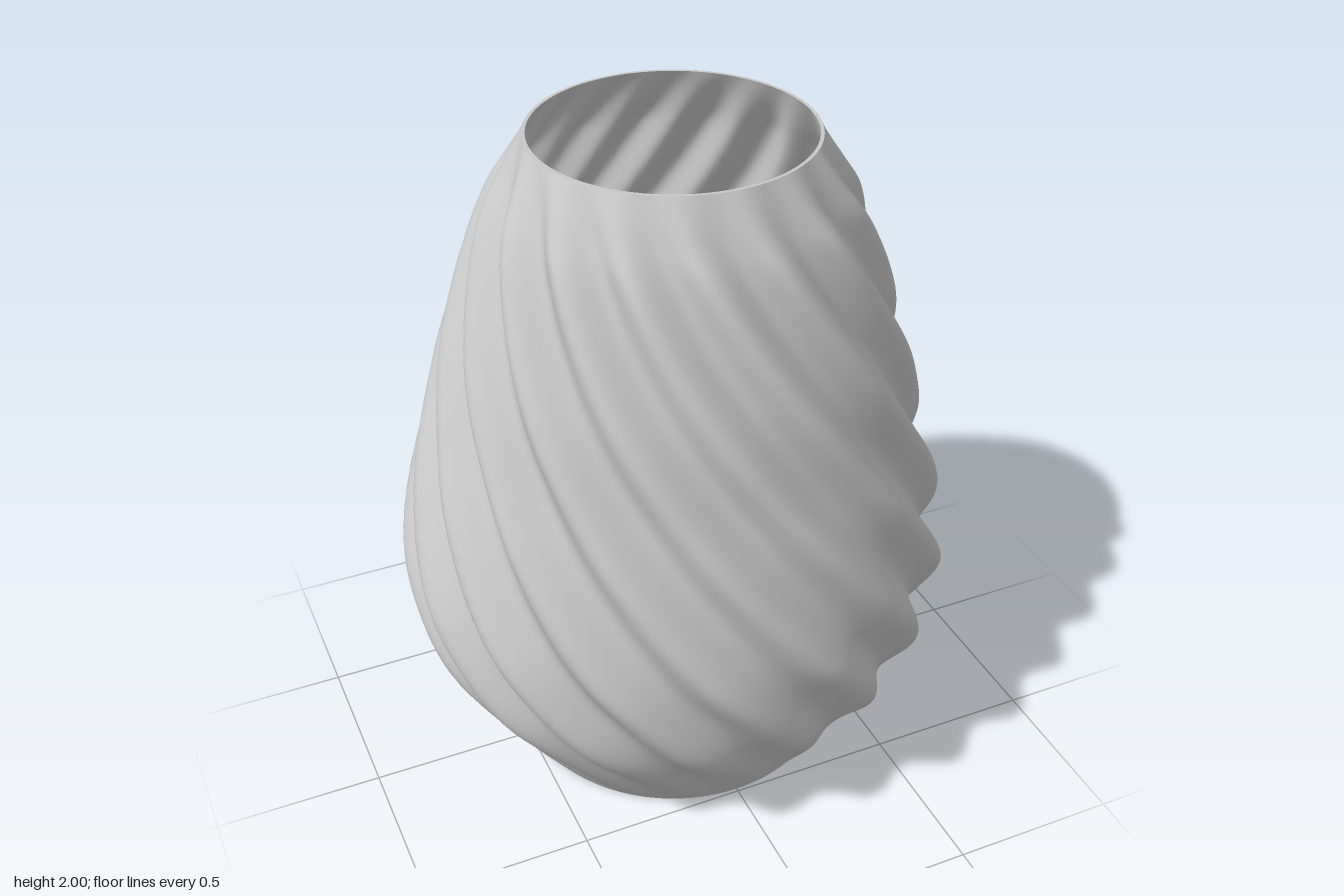
import * as THREE from 'three';

const LOBES = 16;
const TWIST = Math.PI / 3; // turn per unit of height
const WALL = 0.01;
const FLOOR = 0.025;

// Crest radius, height and groove depth up the vase
const profile = new THREE.CatmullRomCurve3([
  [0.49, 0, 0], [0.63, 0.2, 0.022], [0.76, 0.4, 0.055], [0.808, 0.57, 0.07],
  [0.82, 0.72, 0.073], [0.77, 1.0, 0.073], [0.715, 1.2, 0.07], [0.665, 1.4, 0.065],
  [0.6, 1.6, 0.06], [0.525, 1.8, 0.05], [0.47, 1.89, 0.03], [0.4, 2, 0],
].map((p) => new THREE.Vector3(...p)));

// Twisted wall: lobes and grooves follow one sine wave around each level
function wallGeometry(inset, inward) {
  const rows = 72, cols = LOBES * 16;
  const positions = [], index = [];
  for (let i = 0; i <= rows; i++) {
    const p = profile.getPoint(i / rows);
    for (let j = 0; j < cols; j++) {
      const a = (j / cols) * Math.PI * 2;
      const wave = 0.5 - 0.5 * Math.sin(LOBES * (a + p.y * TWIST));
      const r = p.x - Math.max(p.z, 0) * wave - inset;
      positions.push(r * Math.sin(a), p.y, r * Math.cos(a));
    }
  }
  for (let i = 0; i < rows; i++) {
    for (let j = 0; j < cols; j++) {
      const k = (j + 1) % cols;
      const a = i * cols + j, b = i * cols + k;
      const c = b + cols, d = a + cols;
      // Diagonals run along the grooves
      if (inward) index.push(a, d, b, b, d, c);
      else index.push(a, b, d, b, c, d);
    }
  }
  const g = new THREE.BufferGeometry();
  g.setAttribute('position', new THREE.Float32BufferAttribute(positions, 3));
  g.setIndex(index);
  g.computeVertexNormals();
  return g;
}

export function createModel() {
  const group = new THREE.Group();
  group.name = 'twistedVase';
  const grey = new THREE.MeshStandardMaterial({ color: 0xc8c8c8 });
  grey.name = 'light grey';

  const add = (name, geometry) => {
    const mesh = new THREE.Mesh(geometry, grey);
    mesh.name = name;
    group.add(mesh);
    return mesh;
  };

  add('outerWall', wallGeometry(0, false));
  add('innerWall', wallGeometry(WALL, true));

  // Flat lip joining the two walls
  const rim = add('rim', new THREE.RingGeometry(0.4 - WALL, 0.4, 256));
  rim.rotation.x = -Math.PI / 2;
  rim.position.y = 2;

  // Floor with a round hole
  const disc = new THREE.Shape().absarc(0, 0, 0.49, 0, Math.PI * 2, false);
  disc.holes.push(new THREE.Path().absarc(0, 0, 0.185, 0, Math.PI * 2, true));
  const floor = add('floor', new THREE.ExtrudeGeometry(disc, {
    depth: FLOOR, bevelEnabled: false, curveSegments: 96,
  }));
  floor.rotation.x = -Math.PI / 2;

  return group;
}
